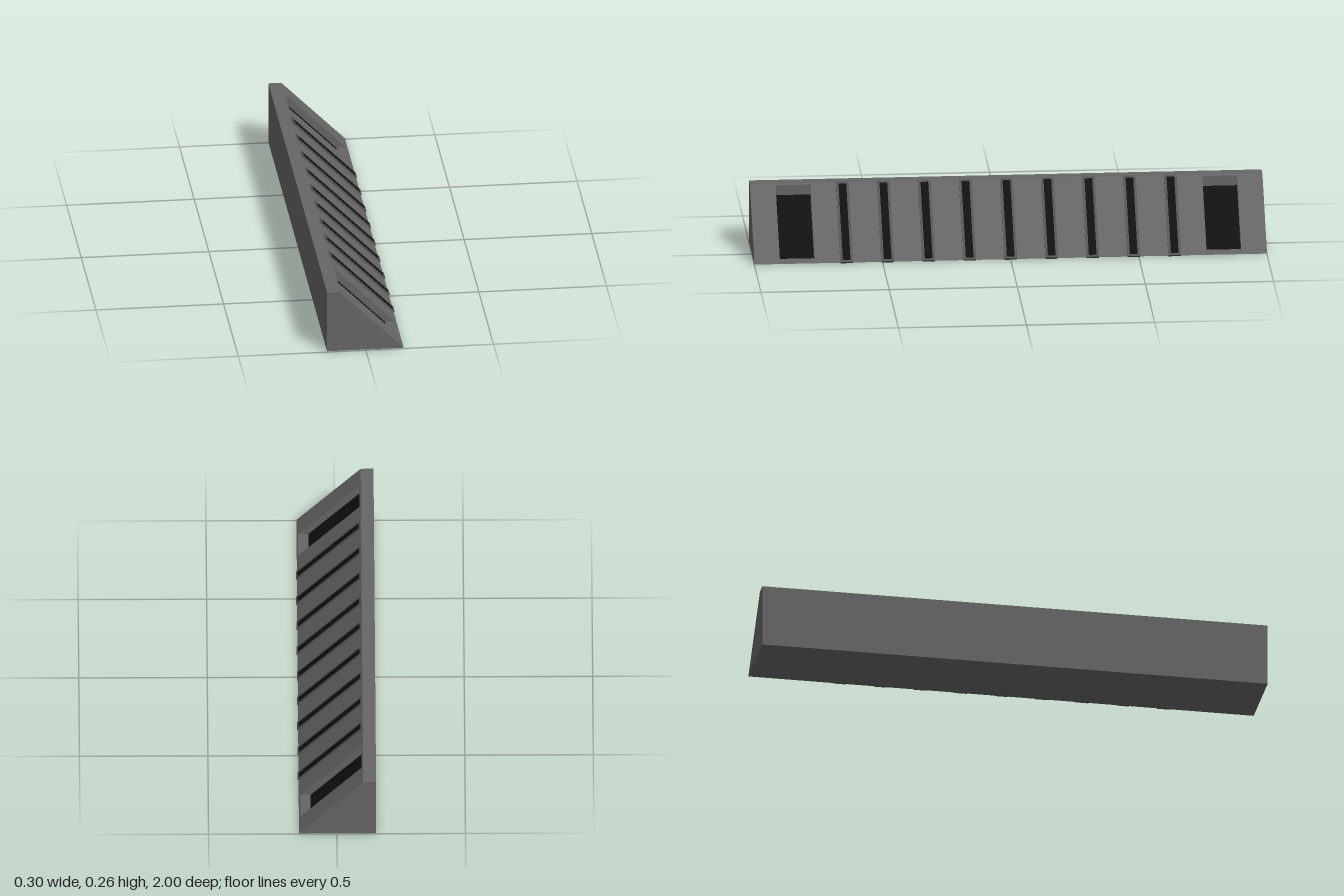
import * as THREE from 'three';

export function createModel() {
  const group = new THREE.Group();
  const mat = (color) => new THREE.MeshStandardMaterial({ color, flatShading: true });
  const bodyMat = mat(0x666666), frameMat = mat(0x555555), darkMat = mat(0x111111);

  const back = -0.152, ridge = -0.102, toe = 0.148, height = 0.25;
  const wedge = [[back, 0], [toe, 0], [ridge, height], [back, height]];
  // Same wedge with a pocket cut into the slope: level sill, sloped floor, upright head
  const pocket = [[back, 0], [toe, 0], [0.142, 0.006], [0.102, 0.006],
    [-0.097, 0.205], [-0.097, 0.245], [ridge, height], [back, height]];

  // Prism of a side profile running from z0 to z1
  function section(name, profile, z0, z1) {
    const shape = new THREE.Shape(profile.map(([x, y]) => new THREE.Vector2(x, y)));
    const geo = new THREE.ExtrudeGeometry(shape, { depth: z1 - z0, bevelEnabled: false });
    geo.translate(0, 0, z0);
    const mesh = new THREE.Mesh(geo, bodyMat);
    mesh.name = name;
    group.add(mesh);
  }

  // Thin plate lying parallel to the 45 degree slope
  function plate(name, material, length, thickness, width, x, y, z) {
    const mesh = new THREE.Mesh(new THREE.BoxGeometry(length, thickness, width), material);
    mesh.name = name;
    mesh.rotation.z = -Math.PI / 4;
    mesh.position.set(x, y, z);
    group.add(mesh);
  }

  // Wedge body, with a pocket near each end
  const inner = 0.765, outer = 0.9;
  section('bodyMiddle', wedge, -inner, inner);
  section('frontPocket', pocket, inner, outer);
  section('backPocket', pocket, -outer, -inner);
  section('frontEnd', wedge, outer, 1);
  section('backEnd', wedge, -1, -outer);

  // Dark floors of the pockets
  for (const s of [-1, 1]) {
    plate('pocketFloor', darkMat, 0.28, 0.002, outer - inner, 0.0025, 0.1055, s * (inner + outer) / 2);
  }

  // Raised slot frames with dark slots along the slope
  const midX = (ridge + toe) / 2, midY = height / 2;
  for (let i = -4; i <= 4; i++) {
    plate('slotFrame', frameMat, 0.3536, 0.01, 0.05, midX, midY, i * 0.16);
    plate('slot', darkMat, 0.336, 0.0114, 0.03, midX, midY, i * 0.16);
  }
  return group;
}
